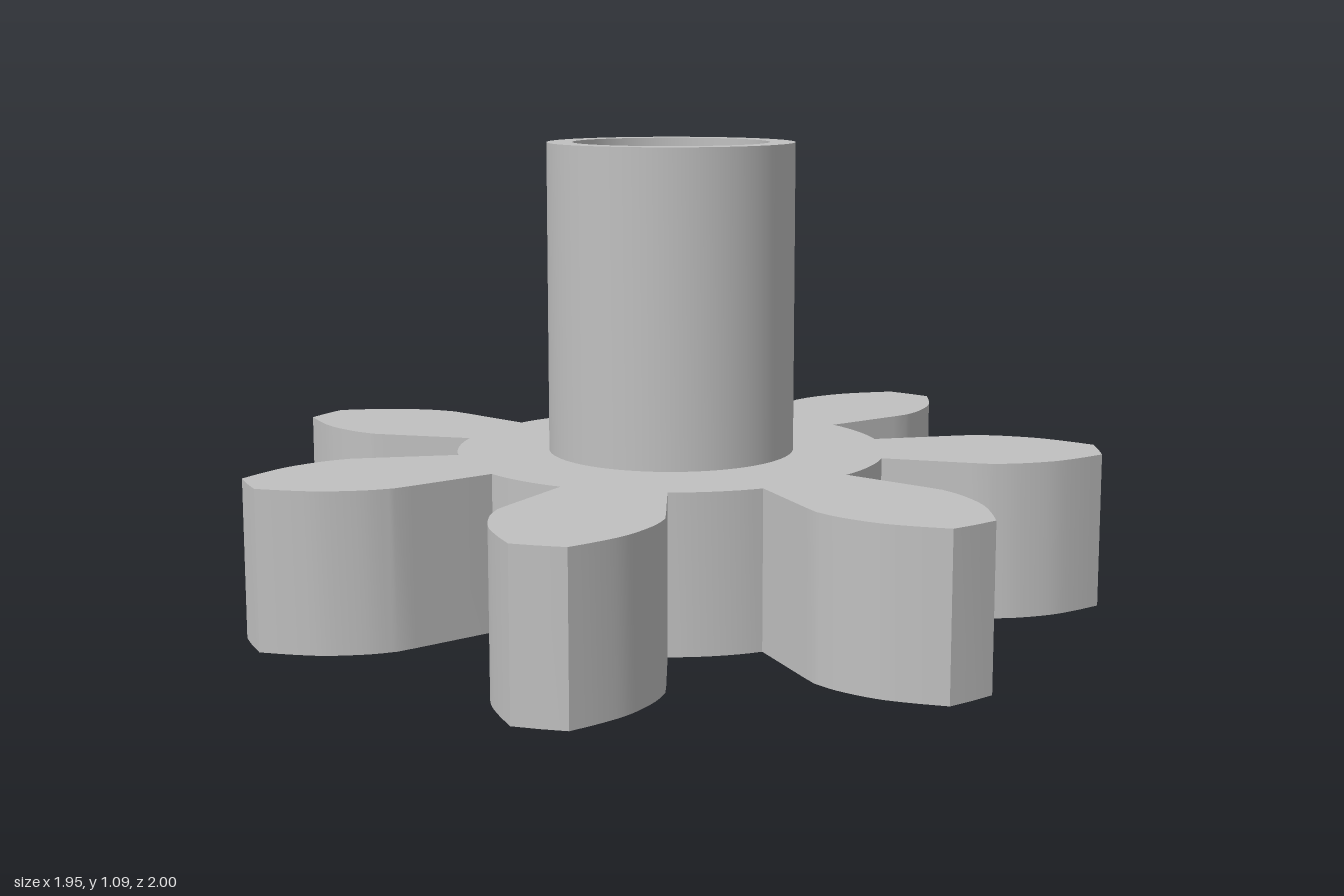
import * as THREE from 'three';
import { toCreasedNormals } from 'three/addons/utils/BufferGeometryUtils.js';

const TEETH = 7, GEAR_H = 0.365, TOP = 1.09;
const ROOT_R = 0.507, TIP_R = 1.014, HUB_R = 0.29, BORE_R = 0.23, FLAT = 0.2;
const CENTRE_X = -0.04;

// Extrude a plan shape upward from height y0 to y1
function extrudeUp(shape, y0, y1) {
  const geo = new THREE.ExtrudeGeometry(shape, { depth: y1 - y0, bevelEnabled: false, curveSegments: 48 });
  geo.rotateX(-Math.PI / 2);
  geo.translate(0, y0, 0);
  return toCreasedNormals(geo, 0.35);
}

// One tooth along +x, from its right root to its left root
function toothOutline() {
  const bulge = new THREE.SplineCurve([
    [0.735, 0.179], [0.80, 0.173], [0.885, 0.146], [0.95, 0.107], [1.012, 0.06],
  ].map(([x, y]) => new THREE.Vector2(x, y))).getPoints(16);
  const flank = [new THREE.Vector2(0.492, 0.12), new THREE.Vector2(0.69, 0.169), ...bulge];
  const mirrored = flank.map((p) => new THREE.Vector2(p.x, -p.y));
  return [...mirrored, new THREE.Vector2(TIP_R, 0), ...flank.reverse()];
}

function gearShape() {
  const points = [];
  const step = (Math.PI * 2) / TEETH;
  const tooth = toothOutline();
  const half = Math.atan2(0.12, 0.492);
  const origin = new THREE.Vector2();
  for (let i = 0; i < TEETH; i++) {
    for (const p of tooth) points.push(p.clone().rotateAround(origin, i * step));
    // Root arc to the next tooth
    for (let k = 1; k < 8; k++) {
      const a = i * step + half + ((step - 2 * half) * k) / 8;
      points.push(new THREE.Vector2(Math.cos(a) * ROOT_R, Math.sin(a) * ROOT_R));
    }
  }
  const shape = new THREE.Shape(points);
  // D-shaped bore with its flat at the back
  const a = Math.asin(FLAT / BORE_R);
  const bore = new THREE.Path();
  bore.absarc(0, 0, BORE_R, Math.PI - a, Math.PI * 2 + a, false);
  bore.closePath();
  shape.holes.push(bore);
  return shape;
}

function hubShape() {
  const shape = new THREE.Shape();
  shape.absarc(0, 0, HUB_R, 0, Math.PI * 2, false);
  const bore = new THREE.Path();
  bore.absarc(0, 0, BORE_R, 0, Math.PI * 2, true);
  shape.holes.push(bore);
  return shape;
}

export function createModel() {
  const group = new THREE.Group();
  group.name = 'gearWithHub';
  const grey = new THREE.MeshStandardMaterial({ color: 0xc0c0c0 });
  grey.name = 'light grey';

  const gear = new THREE.Mesh(extrudeUp(gearShape(), 0, GEAR_H), grey);
  gear.name = 'gearWheel';
  const hub = new THREE.Mesh(extrudeUp(hubShape(), GEAR_H, TOP), grey);
  hub.name = 'hubTube';

  for (const part of [gear, hub]) {
    part.position.x = CENTRE_X;
    group.add(part);
  }
  return group;
}
